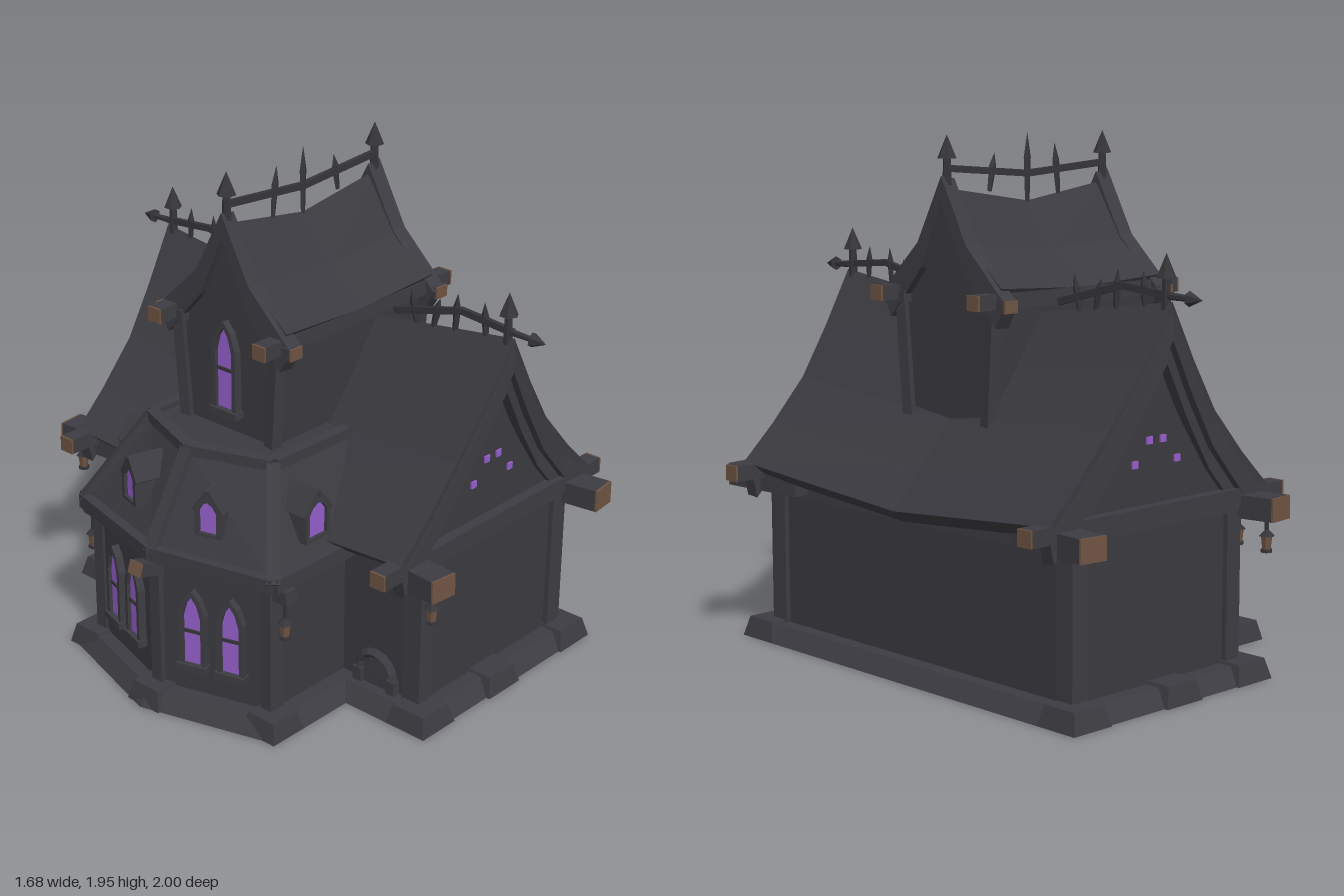
import * as THREE from 'three';

const mat = (name, color, side = THREE.FrontSide) => {
  const m = new THREE.MeshStandardMaterial({ color, side, flatShading: true });
  m.name = name;
  return m;
};
const V = (x, y, z) => new THREE.Vector3(x, y, z);

export function createModel() {
  const root = new THREE.Group();
  const wall = mat('wall plaster', 0x3b3a40, THREE.DoubleSide);
  const roof = mat('roof slate', 0x3b3a40);
  const trim = mat('dark timber', 0x3d3c42, THREE.DoubleSide);
  const iron = mat('iron', 0x36363a);
  const wood = mat('cut wood', 0x6f5442);
  const glow = mat('purple glass', 0x9560cc);

  const add = (parent, name, geo, m, x = 0, y = 0, z = 0) => {
    const mesh = new THREE.Mesh(geo, m);
    mesh.name = name;
    mesh.position.set(x, y, z);
    parent.add(mesh);
    return mesh;
  };
  const box = (parent, name, m, x0, x1, y0, y1, z0, z1) =>
    add(parent, name, new THREE.BoxGeometry(x1 - x0, y1 - y0, z1 - z0), m, (x0 + x1) / 2, (y0 + y1) / 2, (z0 + z1) / 2);

  // Skin between equal rings; faces are turned outward by the sign of the volume
  function loft(rings, caps = [true, true]) {
    const tris = [], n = rings[0].length;
    const quad = (a, b, c, d) => tris.push([a, b, c], [a, c, d]);
    for (let i = 0; i < rings.length - 1; i++) {
      const r = rings[i], q = rings[i + 1];
      for (let j = 0; j < n; j++) quad(r[j], r[(j + 1) % n], q[(j + 1) % n], q[j]);
    }
    const cap = (r, flip) => {
      for (let j = 0; j < Math.floor(n / 2); j++) {
        const c = [r[j], r[j + 1], r[n - 2 - j], r[n - 1 - j]];
        quad(...(flip ? c.reverse() : c));
      }
    };
    if (caps[0]) cap(rings[0], true);
    if (caps[1]) cap(rings[rings.length - 1], false);
    let vol = 0;
    for (const [a, b, c] of tris) vol += a.dot(b.clone().cross(c));
    const pts = tris.flatMap(t => (vol < 0 ? [t[0], t[2], t[1]] : t));
    const g = new THREE.BufferGeometry().setFromPoints(pts);
    g.computeVertexNormals();
    return g;
  }

  // Straight bar from a to b, with an optional cut end
  function bar(parent, name, a, b, w, h, m = trim, tip = false) {
    const len = a.distanceTo(b);
    const mesh = new THREE.Mesh(new THREE.BoxGeometry(w, h, len), m);
    mesh.name = name;
    mesh.position.copy(a).lerp(b, 0.5);
    mesh.lookAt(b);
    parent.add(mesh);
    if (tip) add(mesh, 'beamEnd', new THREE.BoxGeometry(w, h, 0.008), wood, 0, 0, len / 2 + 0.004);
  }

  // Chevron that dips in a straight line to mid-length, between depths d0 and d1 below a mirrored profile
  function chevron(p, d0, d1, s0, s1, { L, sag, pinch, flare }, inset = 0) {
    const n = 2, rings = [], [w0, y0] = p[0], y1 = p[p.length - 1][1];
    for (let i = 0; i <= n; i++) {
      const s = s0 + (s1 - s0) * i / n, k = 1 - Math.abs(s);
      const at = ([w, y], sg, d, cut) => {
        const h = Math.max(0, (y - y0) / (y1 - y0) - 0.4) / 0.6;
        return V(sg * w * (1 - (pinch * k + cut) / w0), y - d - (sag + .04 * h) * k, s * (L + flare * h));
      };
      const side = (d, cut) => [...p.map(q => at(q, -1, d, cut)), ...p.slice(0, -1).reverse().map(q => at(q, 1, d, cut))];
      rings.push([...side(d0, 0), ...side(d1, inset).reverse()]);
    }
    return loft(rings);
  }
  // Flat gable infill under a profile
  function gablePanel(p, drop, base, thick) {
    const left = p.map(([w, y]) => [-w, Math.max(base, y - drop)]);
    const right = p.slice(0, -1).reverse().map(([w, y]) => [w, Math.max(base, y - drop)]);
    const sh = new THREE.Shape([...left, ...right].map(q => new THREE.Vector2(...q)));
    return new THREE.ExtrudeGeometry(sh, { depth: thick, bevelEnabled: false }).translate(0, 0, -thick / 2);
  }

  // ---- Walls on one footprint, open below
  const foot = [[.62, .8], [.62, -.8], [-.19, -.8], [-.19, -.44], [-.59, -.44], [-.72, 0], [-.59, .44], [-.19, .44], [-.19, .8]];
  const offset = d => foot.map((p, i) => {
    const a = foot[(i + 8) % 9], b = foot[(i + 1) % 9];
    const nrm = (u, v) => new THREE.Vector2(u[1] - v[1], v[0] - u[0]).normalize();
    const n1 = nrm(a, p), n2 = nrm(p, b), k = d / (1 + n1.dot(n2));
    return [p[0] + (n1.x + n2.x) * k, p[1] + (n1.y + n2.y) * k];
  });
  const ringAt = (d, y) => offset(d).map(([x, z]) => V(x, y, z));
  add(root, 'walls', loft([ringAt(0, 0), ringAt(0, .64)], [false, false]), wall);
  const ceil = new THREE.ShapeGeometry(new THREE.Shape(foot.map(([x, z]) => new THREE.Vector2(x, -z))));
  add(root, 'ceiling', ceil.rotateX(-Math.PI / 2), wall, 0, .63, 0);

  // Sloped plinth skirt and its stones
  add(root, 'plinth', loft([ringAt(.1, 0), ringAt(.055, .065), ringAt(-.01, .065)], [false, false]), trim);
  const stone = (x, z, w, d) => {
    const r = (k, y) => [V(x - w * k, y, z - d * k), V(x + w * k, y, z - d * k), V(x + w * k, y, z + d * k), V(x - w * k, y, z + d * k)];
    add(root, 'plinthStone', loft([r(1, 0), r(.78, .076)], [false, true]), trim);
  };
  for (const s of [1, -1]) {
    stone(.18, s * .84, .09, .075);
    stone(-.2, s * .82, .09, .09);
    stone(.63, s * .82, .09, .09);
    stone(-.6, s * .46, .08, .08);
  }
  stone(-.73, 0, .08, .08);

  // ---- Corner posts and wall bands
  for (const s of [1, -1]) {
    const z0 = Math.min(s * .74, s * .82), z1 = z0 + .08;
    box(root, 'cornerPost', trim, -.21, -.14, .03, .66, z0, z1);
    box(root, 'cornerPost', trim, .565, .64, .03, .66, z0, z1);
    box(root, 'gableBand', trim, -.2, .63, .62, .7, Math.min(s * .76, s * .825), Math.max(s * .76, s * .825));
    bar(root, 'bayPost', V(-.575, .03, s * .435), V(-.575, .62, s * .435), .07, .05);
  }
  bar(root, 'bayPost', V(-.705, .03, 0), V(-.705, .6, 0), .06, .05);
  box(root, 'sideBand', trim, .6, .635, .57, .62, -.78, .78);

  // ---- Main roof
  const main = new THREE.Group();
  main.name = 'mainRoof';
  main.position.x = .21;
  root.add(main);
  const mp = [[.55, .7], [.41, .835], [.26, 1.0], [.13, 1.19], [0, 1.4]];
  const mo = { L: .83, sag: .075, pinch: .04, flare: .035 };
  add(main, 'slateRoof', chevron(mp, 0, .045, -1, 1, mo, .05), roof);
  for (const s of [1, -1]) {
    add(main, 'bargeBoard', chevron(mp, .04, .13, s * .94, s * 1.005, mo, .02), trim);
    add(main, 'innerBargeBoard', chevron(mp.slice(1), .12, .21, s * .93, s * .975, mo), trim);
    add(main, 'gablePanel', gablePanel(mp, .08, .64, .03), wall, 0, 0, s * .775);
    // Small glowing gable lights
    for (const [x, y] of [[-.035, .922], [.032, .922], [-.108, .845], [.103, .845]])
      add(main, 'gableLight', new THREE.BoxGeometry(.027, .026, .008), glow, x, y, s * .793);
    // Beams that poke out below the roof
    for (const [x, dx] of [[-.245, -.02], [.665, .02]])
      bar(root, 'eaveBeam', V(x - dx, .63, s * .6), V(x + dx, .635, s * .955), .11, .085, trim, true);
    bar(root, 'crossBeam', V(.2, .67, s * .8), V(.835, .67, s * .8), .065, .06, trim, true);
    bar(root, 'crossBeam', V(.2, .67, s * .8), V(-.425, .67, s * .8), .065, .06, trim, true);
  }

  // ---- Cross tower, ridge along x
  const tower = new THREE.Group();
  tower.name = 'tower';
  tower.position.x = .06;
  tower.rotation.y = Math.PI / 2;
  root.add(tower);
  const tp = [[.29, 1.42], [.13, 1.55], [0, 1.76]], bp = [[.33, 1.37], [.13, 1.56], [0, 1.8]];
  const to = { L: .4, sag: .02, pinch: 0, flare: 0 };
  const rect = (w, l, y) => [V(-w, y, -l), V(w, y, -l), V(w, y, l), V(-w, y, l)];
  add(tower, 'towerWalls', loft([rect(.21, .385, .8), rect(.24, .395, 1.4)]), wall);
  add(tower, 'towerRoof', chevron(tp, 0, .05, -1, 1, to, .03), roof);
  for (const s of [1, -1]) {
    add(tower, 'towerBargeBoard', chevron(bp, 0, .09, s * .9, s * 1.06, to, .05), trim);
    add(tower, 'towerGable', gablePanel(tp, .02, 1.39, .03), wall, 0, 0, s * .38);
    for (const t of [1, -1]) {
      bar(tower, 'towerPost', V(t * .205, .85, s * .39), V(t * .242, 1.36, s * .395), .045, .045);
      bar(tower, 'towerBeam', V(t * .26, 1.375, 0), V(t * .26, 1.375, s * .505), .06, .055, trim, true);
      bar(tower, 'towerBeam', V(t * .2, 1.36, s * .4), V(t * .33, 1.36, s * .4), .06, .045, trim, true);
    }
  }

  // ---- Bay roof with hip ribs and bands
  const low = [[-.05, .5], [-.625, .49], [-.745, 0], [-.625, -.49], [-.05, -.5]].map(([x, z]) => V(x, .615, z));
  const top = [[-.05, .32], [-.43, .31], [-.545, 0], [-.43, -.31], [-.05, -.32]].map(([x, z]) => V(x, .96, z));
  add(root, 'bayRoof', loft([low, top]), roof);
  low.forEach((p, i) => {
    if (i > 0 && i < 4) bar(root, 'hipRib', p, top[i], .05, .04);
    if (i < 4) {
      bar(root, 'bayEave', p, low[i + 1], .04, .055);
      bar(root, 'bayTopBand', top[i], top[i + 1], .045, .04);
    }
  });

  // ---- Pointed windows and dormers
  const gothic = (w, h) => new THREE.Shape(
    [[-w, 0], [w, 0], [w, h * .7], [w * .6, h * .89], [0, h], [-w * .6, h * .89], [-w, h * .7]]
      .map(q => new THREE.Vector2(...q)));
  function gothicWindow(parent, name, pos, angle, w, h, depth) {
    const g = new THREE.Group();
    g.name = name;
    g.position.copy(pos);
    g.rotation.y = angle;
    parent.add(g);
    const frame = gothic(w + .018, h + .035);
    frame.holes.push(new THREE.Path(gothic(w, h).getPoints().map(p => p.add(new THREE.Vector2(0, .012))).reverse()));
    add(g, 'windowFrame', new THREE.ExtrudeGeometry(frame, { depth, bevelEnabled: false }), trim, 0, 0, -depth + .025);
    add(g, 'glass', new THREE.ExtrudeGeometry(gothic(w, h), { depth: .008, bevelEnabled: false }), glow, 0, .012, .003);
    if (h > .2) {
      box(g, 'glazingBar', iron, -w, w, h * .5, h * .5 + .012, .008, .018);
      box(g, 'sill', trim, -w - .025, w + .025, -.015, .012, -.02, .035);
    } else {
      for (const s of [1, -1])
        bar(g, 'dormerRoof', V(s * (w + .022), h * .78, -.05), V(0, h + .055, -.05), .15, .016, roof);
    }
  }
  for (const s of [1, -1]) {
    const ang = -Math.PI / 2 + s * .29;
    gothicWindow(root, 'bayDormer', V(-.635, .715, s * .195), ang, .035, .125, .15);
    gothicWindow(root, 'sideDormer', V(-.38, .7, s * .455), s > 0 ? 0 : Math.PI, .046, .135, .15);
    for (const t of [.34, .68])
      gothicWindow(root, 'bayWindow', V(-.725 + .13 * t, .18, s * .44 * t), ang, .036, .28, .04);
    // Low arch beside the bay
    const arch = new THREE.Group();
    arch.name = 'lowArch';
    arch.position.set(-.2, .12, s * .61);
    arch.rotation.y = -Math.PI / 2;
    root.add(arch);
    add(arch, 'archRing', new THREE.TorusGeometry(.08, .02, 4, 8, Math.PI), trim);
    for (const t of [1, -1]) box(arch, 'archLeg', trim, t * .08 - .02, t * .08 + .02, -.12, 0, -.02, .02);
    add(arch, 'archDoor', new THREE.CircleGeometry(.08, 10, 0, Math.PI), trim, 0, 0, .002);
    box(arch, 'archDoor', trim, -.08, .08, -.12, 0, -.004, .003);
  }
  gothicWindow(tower, 'towerWindow', V(0, 1.04, -.398), Math.PI, .04, .32, .04);

  // ---- Bay beams and hanging lanterns
  function lantern(x, y, z) {
    const g = new THREE.Group();
    g.name = 'lantern';
    g.position.set(x, y, z);
    root.add(g);
    box(g, 'hook', iron, -.006, .006, -.04, .04, -.006, .006);
    add(g, 'lanternCap', new THREE.ConeGeometry(.03, .03, 6), iron, 0, -.04, 0);
    add(g, 'lanternBody', new THREE.CylinderGeometry(.022, .016, .05, 6), wood, 0, -.078, 0);
    add(g, 'lanternBase', new THREE.CylinderGeometry(.022, .022, .012, 6), iron, 0, -.108, 0);
  }
  for (const s of [1, -1]) {
    bar(root, 'bayBeam', V(-.57, .55, s * .4), V(-.57, .56, s * .525), .055, .05);
    lantern(-.575, .5, s * .5);
    lantern(-.255, .585, s * .905);
  }
  bar(root, 'bayBeam', V(-.66, .53, 0), V(-.82, .58, 0), .06, .05, trim, true);

  // ---- Iron ridge rails, spikes and finials
  const aim = (obj, a, b) => obj.quaternion.setFromUnitVectors(V(0, 1, 0), b.clone().sub(a).normalize());
  function spear(parent, name, a, b, r, head) {
    const g = new THREE.Group(), len = a.distanceTo(b);
    g.name = name;
    g.position.copy(a);
    aim(g, a, b);
    parent.add(g);
    add(g, 'shaft', new THREE.CylinderGeometry(r * .8, r, len - head, 6), iron, 0, (len - head) / 2, 0);
    add(g, 'head', new THREE.ConeGeometry(r * 2, head, 6), iron, 0, len - head / 2, 0);
  }
  const blade = (parent, a, b) => {
    const len = a.distanceTo(b);
    const pts = [[.011, 0], [.018, .65], [0, 1]].map(([r, t]) => new THREE.Vector2(r, t * len));
    const geo = new THREE.LatheGeometry(pts, 4).scale(.6, 1, 1);
    aim(add(parent, 'ridgeSpike', geo, iron, a.x, a.y, a.z), a, b);
  };
  for (const s of [1, -1]) {
    spear(main, 'ridgeFinial', V(0, 1.36, s * .835), V(0, 1.565, s * .835), .018, .085);
    bar(main, 'ridgeRail', V(0, 1.36, s * .32), V(0, 1.44, s * .63), .018, .025, iron);
    bar(main, 'ridgeRail', V(0, 1.44, s * .63), V(0, 1.42, s * .86), .018, .025, iron);
    spear(main, 'ridgeSpear', V(0, 1.42, s * .85), V(0, 1.415, s * 1), .014, .06);
    for (const [z0, y0, z1, y1] of [[.74, 1.35, .73, 1.5], [.6, 1.34, .61, 1.5], [.5, 1.34, .53, 1.46], [.43, 1.31, .395, 1.47]])
      blade(main, V(0, y0, s * z0), V(0, y1, s * z1));
    spear(tower, 'towerFinial', V(0, 1.76, s * .395), V(0, 1.95, s * .395), .018, .085);
    bar(tower, 'towerRail', V(0, 1.8, 0), V(0, 1.83, s * .4), .018, .025, iron);
  }
  for (const [z0, y0, z1, y1] of [[-.16, 1.72, -.14, 1.91], [0, 1.69, 0, 1.95], [.19, 1.74, .165, 1.88]])
    blade(tower, V(0, y0, z0), V(0, y1, z1));

  return root;
}
